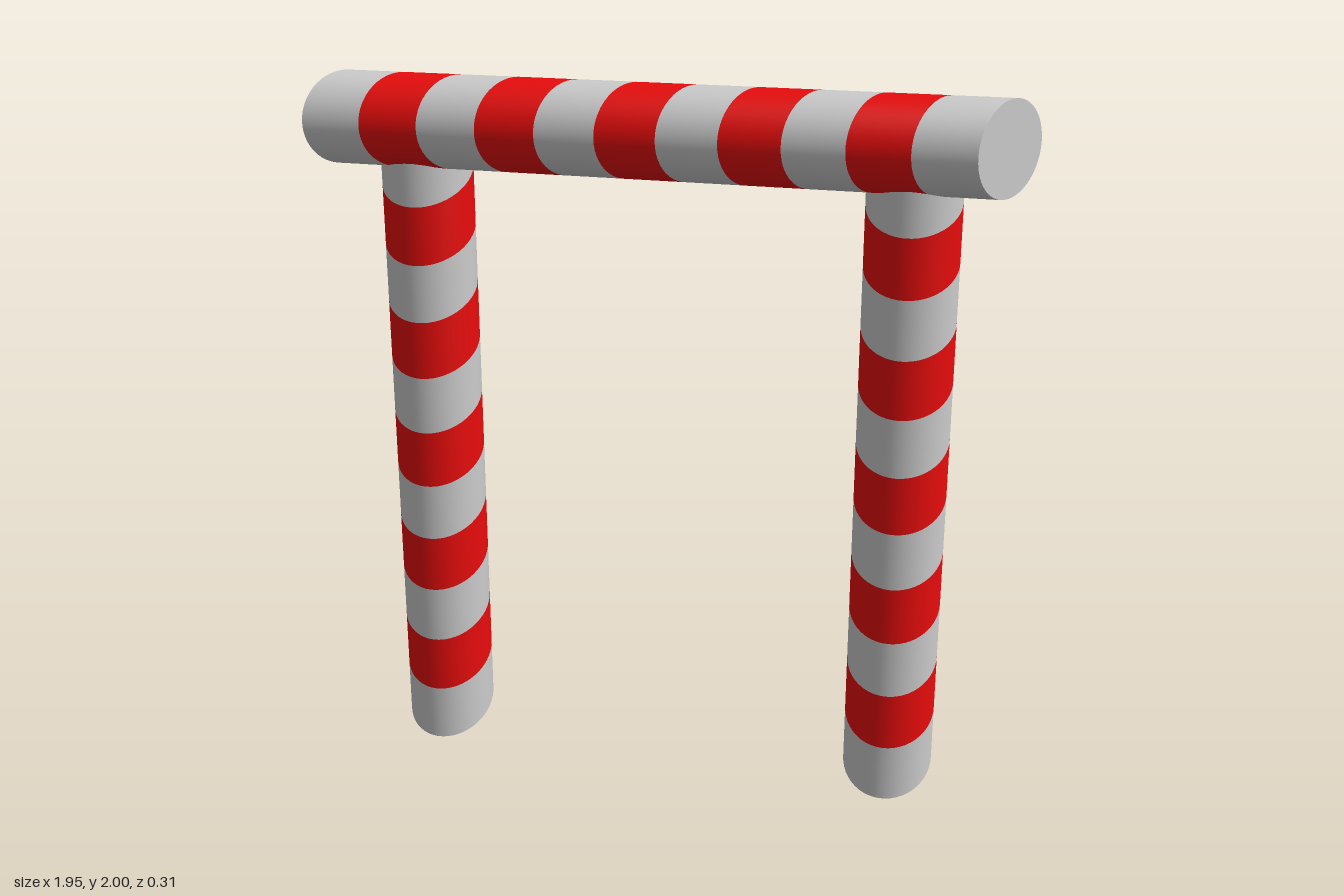
import * as THREE from 'three';
import { mergeGeometries } from 'three/addons/utils/BufferGeometryUtils.js';

const RADIUS = 0.127, LENGTH = 1.81, BANDS = 11, SIDES = 48, SLANT = 0.535;

// Striped pole along y, slanted so its ends and stripes are cut at an angle
function createPole(name, grey, red) {
  const step = LENGTH / BANDS;
  const greyParts = [], redParts = [];
  for (let i = 0; i < BANDS; i++) {
    const band = new THREE.CylinderGeometry(RADIUS, RADIUS, step, SIDES, 1, true);
    band.translate(0, (i + 0.5) * step - LENGTH / 2, 0);
    (i % 2 ? redParts : greyParts).push(band);
  }
  // End caps
  for (const s of [-1, 1]) {
    const cap = new THREE.CircleGeometry(RADIUS, SIDES);
    cap.rotateX(-s * Math.PI / 2).translate(0, s * LENGTH / 2, 0);
    greyParts.push(cap);
  }
  const slant = new THREE.Matrix4().set(
    1, 0, 0, 0,
    0, 1, -SLANT, 0,
    0, 0, 1, 0,
    0, 0, 0, 1
  );
  const pole = new THREE.Group();
  pole.name = name;
  for (const [part, list, material] of [['greyBands', greyParts, grey], ['redStripes', redParts, red]]) {
    const mesh = new THREE.Mesh(mergeGeometries(list).applyMatrix4(slant), material);
    mesh.name = part;
    pole.add(mesh);
  }
  return pole;
}

export function createModel() {
  const model = new THREE.Group();
  model.name = 'stripedGate';
  const grey = new THREE.MeshStandardMaterial({ color: 0xcccccc });
  const red = new THREE.MeshStandardMaterial({ color: 0xe80c0c });

  // Upright posts, set slightly behind the crossbar
  for (const [name, x] of [['rightPost', -0.693], ['leftPost', 0.664]]) {
    const post = createPole(name, grey, red);
    post.position.set(x, 0.973, -0.03);
    model.add(post);
  }

  // Crossbar: the same pole laid along x
  const bar = createPole('crossbar', grey, red);
  bar.rotation.z = -Math.PI / 2;
  bar.position.set(0, 1.874, 0.03);
  model.add(bar);

  return model;
}
